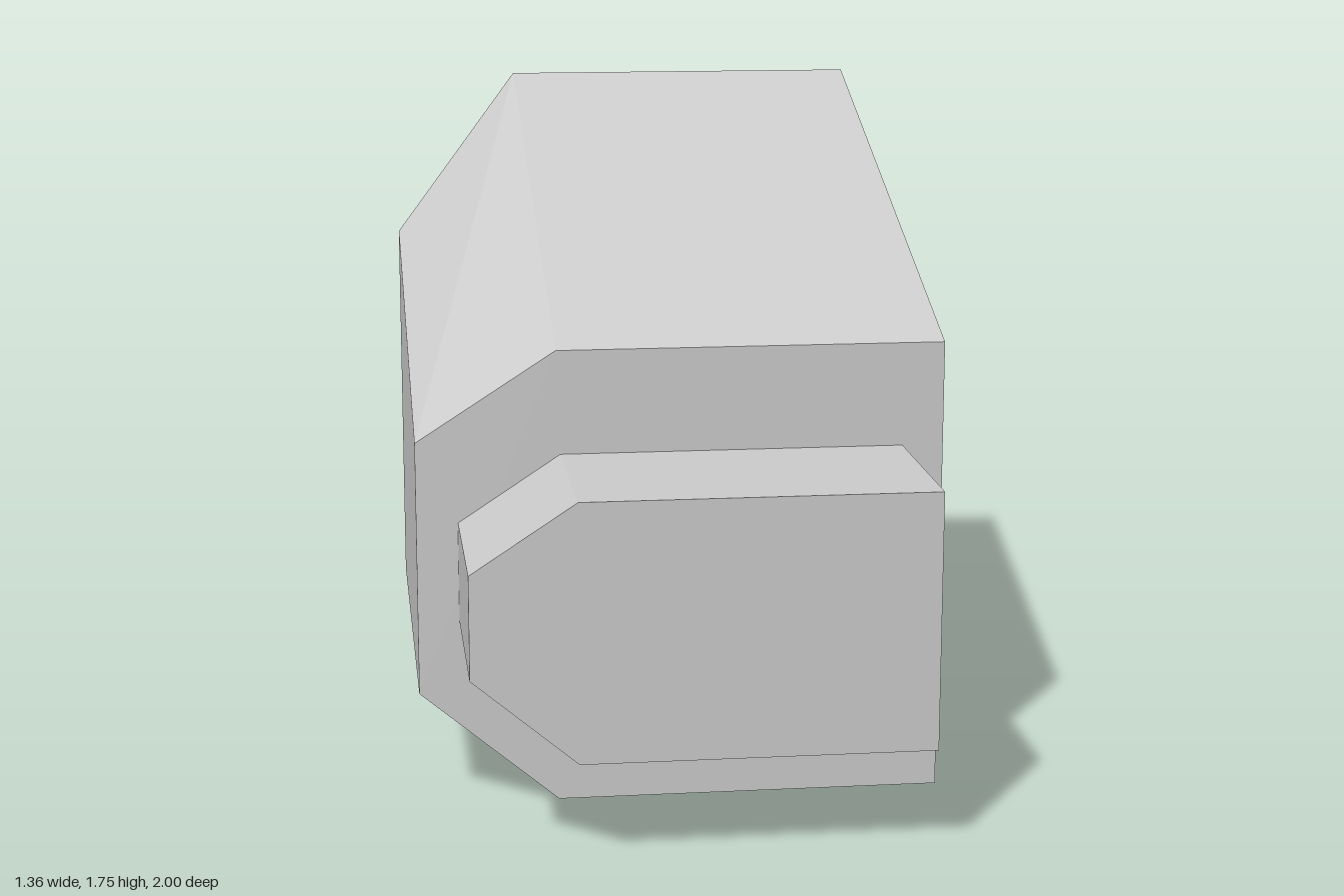
import * as THREE from 'three';

// Skins matching rings of [x, y, z] points, ordered front to back and
// counter-clockwise seen from the front, and caps both ends.
function loft(rings) {
  const n = rings[0].length;
  const pos = [];
  const tri = (a, b, c) => pos.push(...a, ...b, ...c);
  for (let r = 0; r < rings.length - 1; r++) {
    const front = rings[r], back = rings[r + 1];
    for (let i = 0; i < n; i++) {
      const j = (i + 1) % n;
      tri(front[i], back[i], front[j]);
      tri(front[j], back[i], back[j]);
    }
  }
  // Fan both caps from the upper corner, so the bevelled back folds cleanly
  const first = rings[0], last = rings[rings.length - 1], hub = 2;
  for (let k = 1; k < n - 1; k++) {
    const i = (hub + k) % n, j = (hub + k + 1) % n;
    tri(first[hub], first[i], first[j]);
    tri(last[hub], last[j], last[i]);
  }
  const geometry = new THREE.BufferGeometry();
  geometry.setAttribute('position', new THREE.Float32BufferAttribute(pos, 3));
  geometry.computeVertexNormals();
  return geometry;
}

export function createModel() {
  const group = new THREE.Group();
  const grey = new THREE.MeshStandardMaterial({ color: 0xcccccc });
  grey.name = 'light grey';

  const add = (name, rings) => {
    const mesh = new THREE.Mesh(loft(rings), grey);
    mesh.name = name;
    group.add(mesh);
  };

  // Body: rises towards the back, with bevels around its -x side
  const bodyFront = [
    [0.678, 0, 0.5], [0.678, 1.19, 0.5], [-0.32, 1.19, 0.5],
    [-0.678, 0.96, 0.5], [-0.678, 0.3, 0.5], [-0.32, 0, 0.5],
  ];
  const bodyBack = [
    [0.678, 0, -1], [0.678, 1.747, -1], [-0.32, 1.747, -1],
    [-0.678, 1.32, -0.7], [-0.678, 0.3, -0.7], [-0.32, 0, -1],
  ];
  add('body', [bodyFront, bodyBack]);

  // Front block: straight extrusion of a bevelled outline
  const outline = [
    [0.572, 0.27], [0.572, 0.922], [-0.31, 0.922],
    [-0.572, 0.75], [-0.572, 0.49], [-0.31, 0.27],
  ];
  const section = (z) => outline.map(([x, y]) => [x, y, z]);
  add('frontBlock', [section(1), section(0.49)]);

  return group;
}
